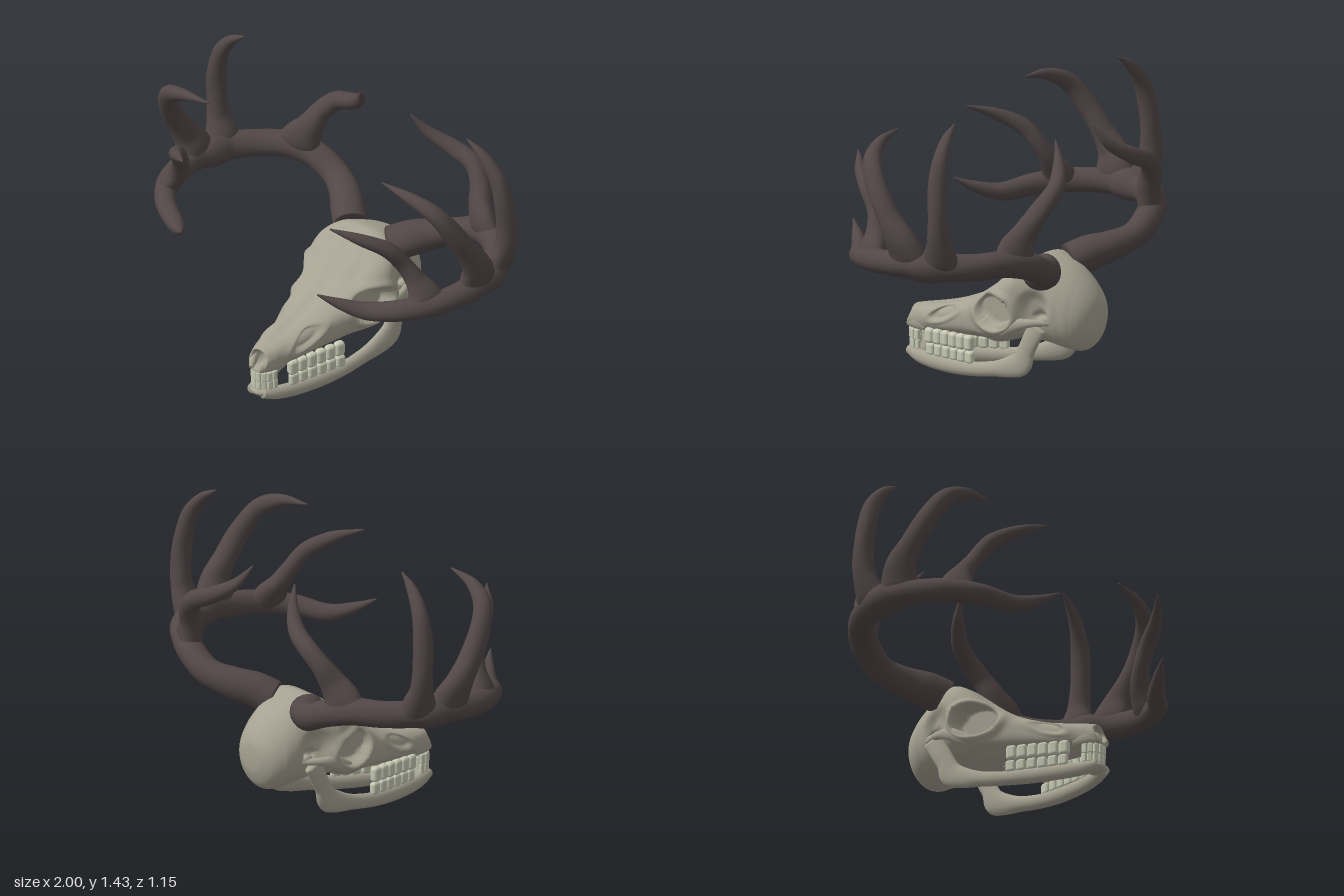
import * as THREE from 'three';
import { RoundedBoxGeometry } from 'three/addons/geometries/RoundedBoxGeometry.js';

const V = (x, y, z) => new THREE.Vector3(x, y, z);
const smooth = THREE.MathUtils.smoothstep;

// Smooth skin over a list of closed rings, capped at both ends
function skin(rings) {
  const n = rings[0].length, pos = [], idx = [];
  rings.forEach(r => r.forEach(p => pos.push(p.x, p.y, p.z)));
  for (let i = 0; i < rings.length - 1; i++) for (let j = 0; j < n; j++) {
    const a = i * n + j, b = i * n + (j + 1) % n;
    idx.push(a, b, a + n, a + n, b, b + n);
  }
  [0, rings.length - 1].forEach((k, end) => {
    const c = rings[k].reduce((s, p) => s.add(p), V(0, 0, 0)).divideScalar(n);
    const ci = pos.length / 3;
    pos.push(c.x, c.y, c.z);
    for (let j = 0; j < n; j++) {
      const a = k * n + j, b = k * n + (j + 1) % n;
      if (end) idx.push(ci, a, b); else idx.push(ci, b, a);
    }
  });
  const g = new THREE.BufferGeometry();
  g.setAttribute('position', new THREE.Float32BufferAttribute(pos, 3));
  g.setIndex(idx);
  g.computeVertexNormals();
  return g;
}

// Elliptical tube through points [x, y, z, radiusU, radiusV]; side = +1 or -1 mirrors x
function sweep(pts, side, { steps = 60, sides = 16, ref = [1, 0, 0], rough = 0 } = {}) {
  const path = new THREE.CatmullRomCurve3(pts.map(p => V(p[0] * side, p[1], p[2])));
  const size = new THREE.CatmullRomCurve3(pts.map(p => V(p[3], p[4] ?? p[3], 0)));
  const u = V(ref[0] * side, ref[1], ref[2]), rings = [];
  for (let i = 0; i <= steps; i++) {
    const t = i / steps, c = path.getPoint(t), r = size.getPoint(t), d = path.getTangent(t);
    u.addScaledVector(d, -u.dot(d)).normalize();
    const v = d.clone().cross(u), ring = [];
    for (let j = 0; j < sides; j++) {
      const a = j / sides * Math.PI * 2;
      const k = 1 + rough * (Math.sin(3 * a + t * 7) + Math.sin(2 * a - t * 19));
      ring.push(c.clone().addScaledVector(u, Math.cos(a) * r.x * k).addScaledVector(v, Math.sin(a) * r.y * k));
    }
    rings.push(ring);
  }
  return skin(rings);
}

// Skull sections from back to nose: z, top, bottom, half width, roundness
const SECTIONS = [
  [-0.537, 0.39, 0.33, 0.03, 1], [-0.53, 0.44, 0.28, 0.08, 1], [-0.5, 0.495, 0.215, 0.132, 1],
  [-0.46, 0.54, 0.188, 0.163, 1], [-0.4, 0.585, 0.193, 0.184, 0.92], [-0.32, 0.62, 0.215, 0.195, 0.77],
  [-0.24, 0.637, 0.23, 0.225, 0.68], [-0.17, 0.605, 0.23, 0.25, 0.63], [-0.1, 0.552, 0.2, 0.242, 0.6],
  [-0.02, 0.485, 0.18, 0.212, 0.62], [0.06, 0.425, 0.185, 0.182, 0.7], [0.15, 0.378, 0.185, 0.155, 0.74],
  [0.27, 0.332, 0.175, 0.124, 0.77], [0.38, 0.306, 0.165, 0.098, 0.8], [0.46, 0.29, 0.165, 0.074, 0.85],
  [0.5, 0.28, 0.17, 0.056, 0.95], [0.497, 0.273, 0.188, 0.045, 1], [0.44, 0.268, 0.195, 0.039, 1],
  [0.39, 0.255, 0.21, 0.025, 1],
];

// Eye sockets, hollows and furrows pressed into the skull
function sculpt(p) {
  const s = Math.sign(p.x);
  let x = Math.abs(p.x);
  const { y, z } = p;
  const inner = z > 0.38 && x < 0.046;
  if (x > 0.05 && !inner) {
    const temple = Math.hypot((z + 0.29) / 0.075, (y - 0.41) / 0.09);
    x -= 0.03 * (1 - smooth(temple, 0.4, 1.2));
    const cheek = Math.hypot((z + 0.04) / 0.16, (y - 0.2) / 0.04);
    x -= 0.025 * (1 - smooth(cheek, 0.4, 1.2));
    const eye = Math.hypot((z + 0.07) / 0.12, (y - 0.37) / 0.086);
    x += 0.018 * Math.exp(-(((eye - 1.14) / 0.2) ** 2));
    x = THREE.MathUtils.lerp(x, Math.min(x, 0.165 - 0.1 * (z + 0.07)), 1 - smooth(eye, 0.78, 1.02));
    const dz = z - 0.28, dy = y - 0.287;
    const slot = Math.hypot((dz * 0.913 - dy * 0.408) / 0.1, (dz * 0.408 + dy * 0.913) / 0.032);
    x += 0.005 * Math.exp(-(((slot - 1.2) / 0.25) ** 2));
    x -= 0.02 * (1 - smooth(slot, 0.6, 1));
    const ear = Math.hypot((z + 0.315) / 0.045, (y - 0.375) / 0.02);
    x -= 0.02 * (1 - smooth(ear, 0.5, 1));
  }
  // Furrow along the forehead and low hollows above the brows
  if (y > 0.3 && z > -0.24) {
    p.y -= 0.008 * Math.exp(-((x / 0.03) ** 2)) * smooth(z, -0.24, -0.12) * (1 - smooth(z, 0.3, 0.45));
    p.y -= 0.012 * Math.exp(-(((x - 0.12) / 0.04) ** 2) - ((z + 0.06) / 0.07) ** 2) * smooth(y, 0.4, 0.46);
  }
  // Slanted nose opening
  p.z += 0.4 * Math.max(0, 0.25 - y) * smooth(z, 0.44, 0.5);
  p.x = s * x;
  return p;
}

function skullGeometry() {
  const a = new THREE.CatmullRomCurve3(SECTIONS.map(r => V(r[0], r[1], r[2])));
  const b = new THREE.CatmullRomCurve3(SECTIONS.map(r => V(r[3], r[4], 0)));
  const rings = [], pw = (c, e) => Math.sign(c) * Math.abs(c) ** e;
  for (let i = 0; i <= 170; i++) {
    const { x: z, y: top, z: bot } = a.getPoint(i / 170), { x: w, y: e } = b.getPoint(i / 170);
    rings.push(Array.from({ length: 128 }, (_, j) => {
      const t = j / 64 * Math.PI;
      return sculpt(V(w * pw(Math.cos(t), e), (top + bot) / 2 + (top - bot) / 2 * pw(Math.sin(t), e), z));
    }));
  }
  return skin(rings);
}

// Antler branches: x, y, z, radius along the beam, radius across it; ref is the beam direction at the fork
const BRANCHES = {
  antlerBeam: { ref: [0.3, 0.2, 1], pts: [
    [0.13, 0.57, -0.29, 0.088], [0.2, 0.605, -0.345, 0.086], [0.28, 0.632, -0.415, 0.076],
    [0.4, 0.67, -0.478, 0.066], [0.53, 0.728, -0.475, 0.068], [0.65, 0.758, -0.425, 0.066],
    [0.77, 0.757, -0.34, 0.064], [0.86, 0.757, -0.22, 0.067], [0.903, 0.757, -0.06, 0.067],
    [0.9, 0.747, 0.06, 0.062], [0.86, 0.735, 0.2, 0.058], [0.76, 0.718, 0.33, 0.052],
    [0.62, 0.7, 0.42, 0.044], [0.52, 0.735, 0.5, 0.028], [0.44, 0.785, 0.575, 0.004]] },
  rearTine: { ref: [0.88, 0.2, 0.4], pts: [
    [0.61, 0.745, -0.45, 0.13, 0.05], [0.585, 0.81, -0.445, 0.1, 0.06], [0.55, 0.88, -0.463, 0.068, 0.057],
    [0.51, 0.965, -0.503, 0.052, 0.05], [0.44, 1.035, -0.528, 0.046], [0.33, 1.085, -0.51, 0.042],
    [0.22, 1.16, -0.45, 0.028], [0.16, 1.255, -0.393, 0.004]] },
  tallTine: { ref: [0.3, 0, 0.95], pts: [
    [0.87, 0.75, -0.2, 0.12, 0.05], [0.895, 0.815, -0.215, 0.085, 0.06], [0.925, 0.9, -0.225, 0.057, 0.054],
    [0.935, 1.01, -0.225, 0.05], [0.925, 1.15, -0.215, 0.047], [0.89, 1.27, -0.205, 0.04],
    [0.81, 1.37, -0.19, 0.026], [0.72, 1.43, -0.18, 0.004]] },
  middleTine: { ref: [0, 0, 1], pts: [
    [0.9, 0.75, -0.04, 0.13, 0.05], [0.915, 0.815, -0.035, 0.1, 0.062], [0.937, 0.885, -0.01, 0.078, 0.06],
    [0.938, 0.98, 0.05, 0.058, 0.055], [0.92, 1.1, 0.125, 0.052], [0.86, 1.22, 0.195, 0.045],
    [0.74, 1.28, 0.232, 0.03], [0.56, 1.308, 0.245, 0.004]] },
  frontTine: { ref: [-0.45, 0, 0.9], pts: [
    [0.84, 0.73, 0.23, 0.11, 0.045], [0.81, 0.785, 0.225, 0.08, 0.052], [0.765, 0.85, 0.235, 0.052, 0.048],
    [0.72, 0.93, 0.268, 0.041], [0.68, 1.02, 0.335, 0.04], [0.6, 1.085, 0.43, 0.03], [0.475, 1.14, 0.525, 0.004]] },
};

// Bone bars on each side: x, y, z, thickness, height
const BONES = {
  lowerJaw: [
    [0.03, 0.056, 0.515, 0.028, 0.026], [0.06, 0.043, 0.45, 0.028, 0.034], [0.093, 0.037, 0.35, 0.028, 0.037],
    [0.13, 0.04, 0.2, 0.029, 0.038], [0.153, 0.05, 0.08, 0.028, 0.036], [0.169, 0.073, -0.05, 0.028, 0.038],
    [0.18, 0.1, -0.15, 0.028, 0.053], [0.186, 0.132, -0.215, 0.028, 0.062], [0.19, 0.2, -0.247, 0.026, 0.048],
    [0.195, 0.265, -0.28, 0.023, 0.05], [0.195, 0.33, -0.31, 0.02, 0.055]],
  cheekArch: [
    [0.18, 0.26, -0.06, 0.02, 0.02], [0.215, 0.285, -0.13, 0.024, 0.032], [0.23, 0.325, -0.2, 0.021, 0.032],
    [0.215, 0.342, -0.28, 0.018, 0.02], [0.165, 0.345, -0.375, 0.014, 0.014]],
  noseProng: [
    [0.066, 0.2, 0.4, 0.015, 0.03], [0.056, 0.205, 0.46, 0.018, 0.036], [0.037, 0.195, 0.506, 0.018, 0.03],
    [0.024, 0.18, 0.53, 0.012, 0.014]],
};

export function createModel() {
  const bone = new THREE.MeshStandardMaterial({ name: 'bone', color: 0xa6a292 });
  const antler = new THREE.MeshStandardMaterial({ name: 'antler', color: 0x524747 });
  const enamel = new THREE.MeshStandardMaterial({ name: 'enamel', color: 0xc6c9b3 });
  const model = new THREE.Group();
  model.name = 'antleredSkull';
  const add = (name, geo, mat, parent = model) => {
    const m = new THREE.Mesh(geo, mat);
    m.name = name;
    parent.add(m);
    return m;
  };
  const lump = (name, x, y, z, sx, sy, sz) => {
    const m = add(name, new THREE.SphereGeometry(1, 24, 16), bone);
    m.position.set(x, y, z);
    m.scale.set(sx, sy, sz);
  };

  add('skull', skullGeometry(), bone);
  lump('chin', 0, 0.055, 0.485, 0.06, 0.026, 0.052);
  lump('palate', 0, 0.178, 0.475, 0.055, 0.017, 0.052);

  const teeth = new THREE.Group();
  teeth.name = 'teeth';
  model.add(teeth);
  const tooth = (name, w, h, d, x, y, z, turn) => {
    const m = add(name, new RoundedBoxGeometry(w, h, d, 3, Math.min(w, d) * 0.4), enamel, teeth);
    m.position.set(x, y, z);
    m.rotation.y = turn;
  };

  for (const s of [1, -1]) {
    const side = s > 0 ? 'left' : 'right';
    for (const [name, { ref, pts }] of Object.entries(BRANCHES)) {
      add(`${side} ${name}`, sweep(pts, s, { steps: pts.length * 8, sides: 20, ref, rough: 0.025 }), antler);
    }
    for (const [name, pts] of Object.entries(BONES)) add(`${side} ${name}`, sweep(pts, s), bone);
    lump(`${side} earBone`, s * 0.17, 0.355, -0.335, 0.025, 0.022, 0.035);
    // Molars
    for (let i = 0; i < 6; i++) {
      const z = 0.365 - i * 0.052, x = s * (0.091 + i * 0.0125);
      tooth('upperMolar', 0.042, 0.075, 0.052, x, 0.16 + i * 0.003, z, -s * 0.24);
      tooth('lowerMolar', 0.037, 0.062, 0.05, x, 0.095 + i * 0.002, z - 0.006, -s * 0.24);
    }
    // Incisors around the muzzle
    for (let i = 0; i < 4; i++) {
      const a = 0.2 + i * 0.42, x = s * 0.06 * Math.sin(a), z = 0.452 + 0.07 * Math.cos(a);
      tooth('upperIncisor', 0.028, 0.054, 0.02, x, 0.143, z, s * a);
      tooth('lowerIncisor', 0.027, 0.05, 0.02, x, 0.096, z - 0.003, s * a);
    }
  }
  return model;
}
